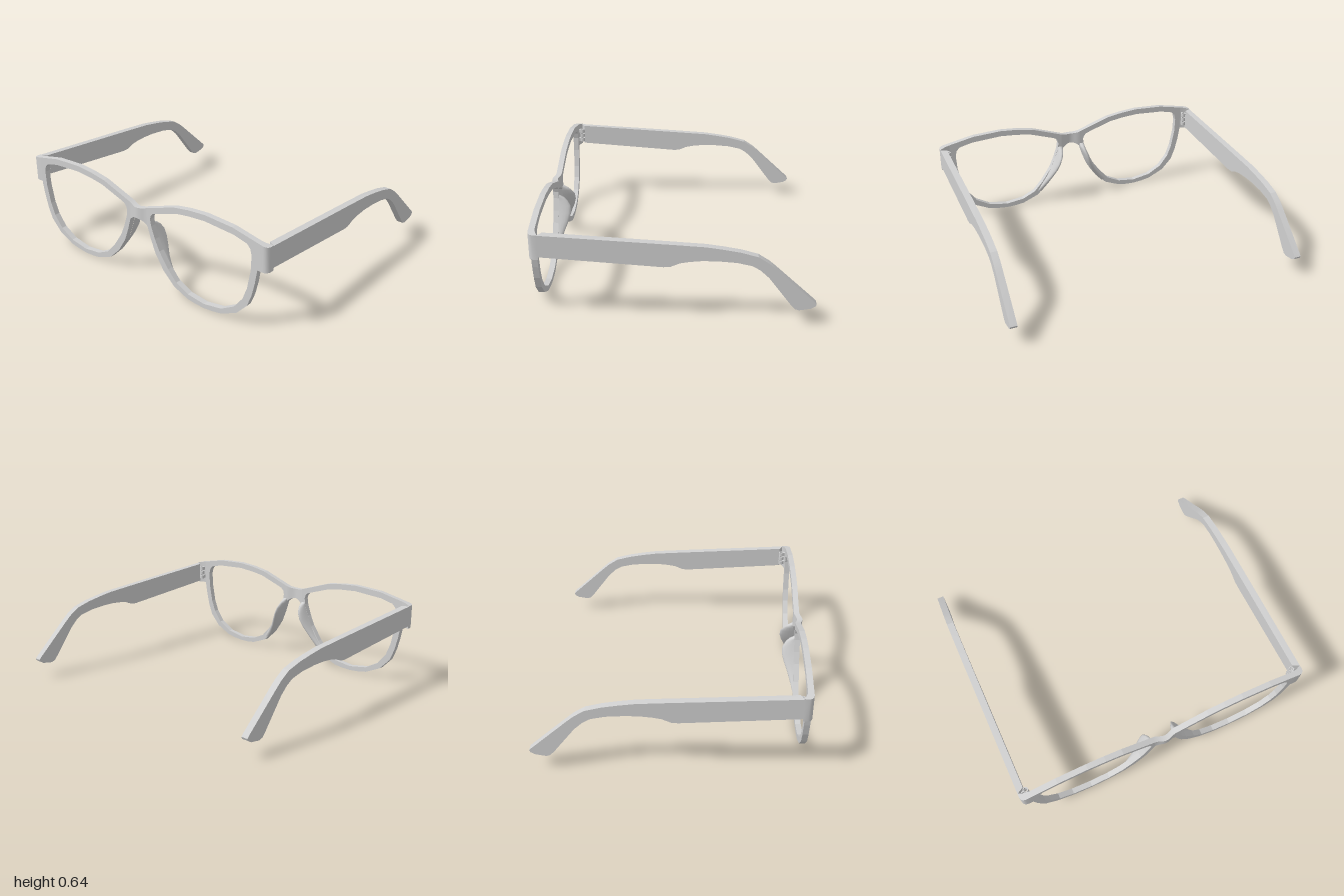
import * as THREE from 'three';
import { toCreasedNormals } from 'three/addons/utils/BufferGeometryUtils.js';

const BACK = 0.803, FRONT = 0.84;
const frameGrey = new THREE.MeshStandardMaterial({ color: 0xd0d0d0 });
frameGrey.name = 'frame grey';

const toPoints = (list) => list.map(([x, y]) => new THREE.Vector2(x, y));
const extrude = (shape, depth) => new THREE.ExtrudeGeometry(shape, { depth, bevelEnabled: false });

// Move every vertex by a rule
function warp(geo, rule) {
  const p = geo.attributes.position, v = new THREE.Vector3();
  for (let i = 0; i < p.count; i++) {
    rule(v.fromBufferAttribute(p, i));
    p.setXYZ(i, v.x, v.y, v.z);
  }
  geo.computeVertexNormals();
  return geo;
}

// Copy across x = 0 with the faces turned back outwards
function mirrored(geo) {
  const g = geo.clone().applyMatrix4(new THREE.Matrix4().makeScale(-1, 1, 1));
  const idx = g.index ? Array.from(g.index.array) : Array.from({ length: g.attributes.position.count }, (_, i) => i);
  for (let i = 0; i < idx.length; i += 3) [idx[i + 1], idx[i + 2]] = [idx[i + 2], idx[i + 1]];
  g.setIndex(idx);
  return g;
}

// Rim: clockwise outline, with the lens opening cut out counter-clockwise
function rimGeometry() {
  const shape = new THREE.Shape(toPoints([
    [0.075, 0.533], [0.3, 0.61], [0.42, 0.63], [0.545, 0.64], [0.75, 0.63], [0.93, 0.594], [0.93, 0.41],
    [0.915, 0.325], [0.893, 0.238], [0.861, 0.158], [0.785, 0.078], [0.67, 0.023], [0.6, 0.01], [0.53, 0.003],
    [0.46, 0.006], [0.4, 0.014], [0.285, 0.06], [0.2, 0.14], [0.135, 0.24], [0.1, 0.33], [0.075, 0.41],
  ]));
  shape.holes.push(new THREE.Path(toPoints([
    [0.107, 0.42], [0.1, 0.465], [0.107, 0.49], [0.125, 0.509], [0.16, 0.522], [0.32, 0.575], [0.42, 0.59],
    [0.545, 0.6], [0.76, 0.587], [0.855, 0.565], [0.88, 0.54], [0.89, 0.5], [0.885, 0.4], [0.86, 0.275],
    [0.828, 0.193], [0.765, 0.113], [0.665, 0.056], [0.53, 0.033], [0.4, 0.049], [0.305, 0.094],
    [0.24, 0.165], [0.17, 0.265], [0.135, 0.34],
  ].reverse())));
  return extrude(shape, FRONT - BACK).translate(0, 0, BACK);
}

// Bridge: a bar that arches in height and bulges forward
function bridgeGeometry() {
  const geo = new THREE.BoxGeometry(0.15, 1, FRONT - BACK, 12, 1, 1);
  return toCreasedNormals(warp(geo, (v) => {
    const t = v.x / 0.075;
    v.y = v.y > 0 ? 0.52 + 0.013 * t * t : 0.447 - 0.037 * t * t;
    v.z += (BACK + FRONT) / 2 + 0.0085 * (1 + Math.cos(Math.PI * t));
  }), 0.6);
}

// End piece: plan profile wrapping round the corner to meet the temple
function endPieceGeometry() {
  const plan = new THREE.Shape(toPoints([
    [0.93, BACK], [0.957, 0.8], [1, 0.782], [1, 0.812], [0.994, 0.827], [0.982, 0.837], [0.967, FRONT], [0.93, FRONT],
  ]));
  const geo = extrude(plan, 0.16).rotateX(Math.PI / 2).translate(0, 0.58, 0);
  warp(geo, (v) => { if (v.y > 0.5) v.y += (1 - v.x) * 0.2; });
  return toCreasedNormals(geo, 0.6);
}

// Temple: side profile given as z, y, with its front end mitred to clear the hinge
function templeGeometry() {
  const side = new THREE.Shape(toPoints([
    [0.783, 0.577], [0, 0.53], [-0.197, 0.517], [-0.297, 0.503], [-0.4, 0.485], [-0.503, 0.457], [-0.57, 0.413],
    [-0.608, 0.38], [-0.846, 0.16], [-0.857, 0.147], [-0.85, 0.132], [-0.825, 0.117], [-0.755, 0.105],
    [-0.73, 0.113], [-0.7, 0.147], [-0.57, 0.32], [-0.517, 0.37], [-0.47, 0.398], [-0.38, 0.418],
    [-0.265, 0.427], [-0.174, 0.427], [-0.1, 0.42], [-0.046, 0.41], [0.01, 0.386], [0.05, 0.383], [0.783, 0.437],
  ]));
  const geo = extrude(side, 0.045).rotateY(-Math.PI / 2).translate(1, 0, 0);
  warp(geo, (v) => { if (v.z > 0.78 && v.x < 0.98) v.z = 0.76; });
  return toCreasedNormals(geo, 0.3);
}

// Nose pad: half-ellipse sections lofted down the rim (y, outer x, inner x, tip z)
function nosePadGeometry() {
  const rows = [
    [0.435, 0.068, 0.105, 0.803], [0.42, 0.068, 0.107, 0.77], [0.4, 0.072, 0.112, 0.747],
    [0.366, 0.083, 0.125, 0.725], [0.32, 0.099, 0.143, 0.723], [0.27, 0.118, 0.168, 0.737],
    [0.21, 0.151, 0.2, 0.762], [0.14, 0.2, 0.25, 0.787], [0.085, 0.25, 0.29, 0.804],
  ];
  const n = 10, pos = [], idx = [];
  for (const [y, xo, xi, zt] of rows) {
    for (let j = 0; j <= n; j++) {
      const t = Math.PI * j / n;
      pos.push((xo + xi) / 2 - (xi - xo) / 2 * Math.cos(t), y, 0.808 - (0.808 - zt) * Math.sin(t));
    }
  }
  for (let i = 0; i < rows.length - 1; i++) {
    for (let j = 0; j < n; j++) {
      const a = i * (n + 1) + j, b = a + n + 1;
      idx.push(a, a + 1, b, a + 1, b + 1, b);
    }
  }
  const geo = new THREE.BufferGeometry();
  geo.setAttribute('position', new THREE.Float32BufferAttribute(pos, 3));
  geo.setIndex(idx);
  geo.computeVertexNormals();
  return geo;
}

// Hinge knuckle: short hollow barrel
function knuckleGeometry(y) {
  const h = 0.013, ri = 0.012, ro = 0.018;
  const ring = new THREE.LatheGeometry(toPoints([[ri, -h], [ro, -h], [ro, h], [ri, h], [ri, -h]]), 16);
  return toCreasedNormals(ring, 0.6).translate(0.946, y, 0.775);
}

export function createModel() {
  const model = new THREE.Group();
  model.name = 'eyeglasses';
  const add = (name, geo) => {
    const mesh = new THREE.Mesh(geo, frameGrey);
    mesh.name = name;
    model.add(mesh);
  };
  const addPair = (name, geo) => {
    add('left' + name, geo);
    add('right' + name, mirrored(geo));
  };

  add('bridge', bridgeGeometry());
  addPair('Rim', rimGeometry());
  addPair('EndPiece', endPieceGeometry());
  addPair('Temple', templeGeometry());
  addPair('NosePad', nosePadGeometry());

  // Hinges: outer knuckles join the frame, the middle one joins the temple
  [0.47, 0.505, 0.54].forEach((y, i) => {
    addPair('HingeKnuckle' + (i + 1), knuckleGeometry(y));
    const leaf = i === 1
      ? new THREE.BoxGeometry(0.018, 0.026, 0.022).translate(0.969, y, 0.766)
      : new THREE.BoxGeometry(0.014, 0.026, 0.018).translate(0.945, y, 0.798);
    addPair('HingeLeaf' + (i + 1), leaf);
  });
  return model;
}
